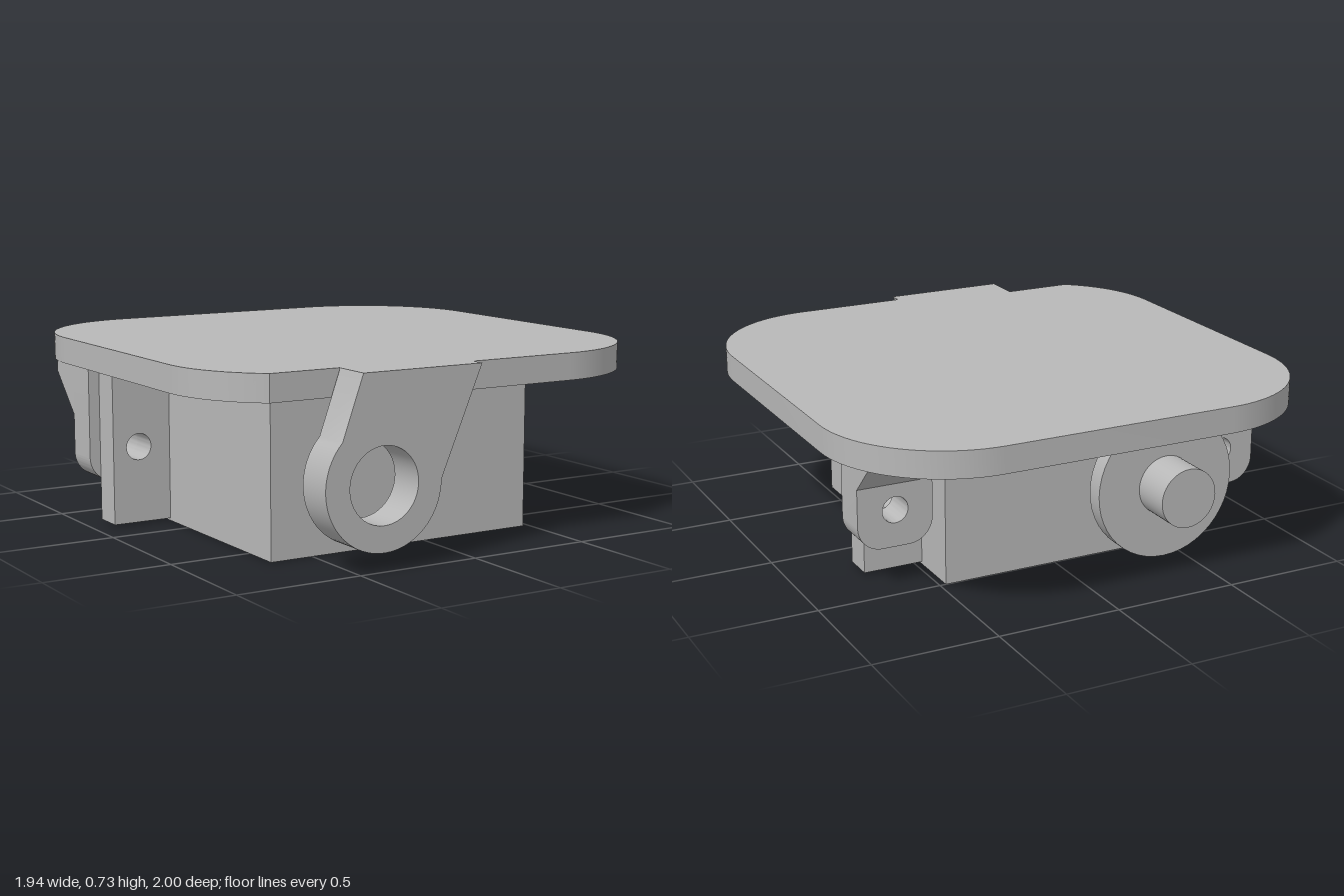
import * as THREE from 'three';
import { toCreasedNormals } from 'three/addons/utils/BufferGeometryUtils.js';

const grey = new THREE.MeshStandardMaterial({ color: 0xb8b8b8 });
grey.name = 'grey plastic';

export function createModel() {
  const model = new THREE.Group();
  model.name = 'servoMount';

  const add = (name, geometry) => {
    const mesh = new THREE.Mesh(geometry, grey);
    mesh.name = name;
    model.add(mesh);
    return mesh;
  };
  const box = (name, x0, x1, y0, y1, z0, z1) =>
    add(name, new THREE.BoxGeometry(x1 - x0, y1 - y0, z1 - z0))
      .position.set((x0 + x1) / 2, (y0 + y1) / 2, (z0 + z1) / 2);
  const extrude = (shape, depth) => toCreasedNormals(
    new THREE.ExtrudeGeometry(shape, { depth, bevelEnabled: false, curveSegments: 24 }), 0.6);
  const hole = (shape, x, y, r) =>
    shape.holes.push(new THREE.Path().absarc(x, y, r, 0, Math.PI * 2, true));
  const polygon = (points) => new THREE.Shape(points.map(([x, y]) => new THREE.Vector2(x, y)));

  const axisX = -0.4, axisY = 0.315, plateY = 0.62, topY = 0.725;

  // Rounded top plate, notched at the front beside the pivot bracket
  const plate = new THREE.Shape();
  plate.moveTo(-0.49, -0.945);
  plate.lineTo(0.47, -0.945);
  plate.absarc(0.47, -0.445, 0.5, -Math.PI / 2, 0);
  plate.absarc(0.47, 0.5, 0.5, 0, Math.PI / 2);
  plate.absarc(-0.47, 0.5, 0.5, Math.PI / 2, Math.PI);
  plate.absarc(-0.47, -0.445, 0.5, Math.PI, Math.PI + Math.asin(0.79));
  plate.lineTo(-0.49, -0.84);
  plate.closePath();
  add('topPlate', extrude(plate, topY - plateY).rotateX(-Math.PI / 2)).position.y = plateY;

  // Front pivot bracket: a ring joined to the plate by a slanted arm
  const bracket = new THREE.Shape();
  bracket.moveTo(0.02, topY);
  bracket.lineTo(-0.49, topY);
  bracket.absarc(axisX, axisY, 0.245, Math.PI * 0.755, Math.PI * 2);
  bracket.closePath();
  hole(bracket, axisX, axisY, 0.145);
  add('pivotBracket', extrude(bracket, 0.155)).position.z = 0.845;

  // Servo body
  box('servoBody', -0.675, 0.475, 0, plateY, -0.5, 0.665);

  // Mounting ears and the screw tabs behind them
  const sides = [
    { side: 'right', ear: [-0.92, -0.675], earHole: -0.81, tab: -0.81 },
    { side: 'left', ear: [0.475, 0.72], earHole: 0.615, tab: 0.65 },
  ];
  for (const { side, ear: [e0, e1], earHole, tab } of sides) {
    const ear = polygon([[e0, 0.01], [e1, 0.01], [e1, plateY], [e0, plateY]]);
    hole(ear, earHole, axisY, 0.053);
    add(side + 'Ear', extrude(ear, 0.125)).position.z = -0.28;

    const x0 = tab - 0.155, x1 = tab + 0.155, y0 = 0.165, r = 0.1;
    const lug = new THREE.Shape();
    lug.moveTo(x0 + r, y0);
    lug.absarc(x1 - r, y0 + r, r, -Math.PI / 2, 0);
    lug.lineTo(x1, plateY);
    lug.lineTo(x0, plateY);
    lug.absarc(x0 + r, y0 + r, r, Math.PI, Math.PI * 1.5);
    hole(lug, tab, axisY, 0.053);
    add(side + 'ScrewTab', extrude(lug, 0.15)).position.z = -0.43;

    // Sloped gusset bracing the tab against the plate
    const gusset = polygon([[0.43, 0.42], [0.59, 0.58], [0.59, plateY], [0.43, plateY]]);
    add(side + 'Gusset', extrude(gusset, 0.31).rotateY(Math.PI / 2)).position.x = x0;
  }

  // Output spline, horn disc and pivot pin at the back
  const turned = (name, r, z0, z1) =>
    add(name, new THREE.CylinderGeometry(r, r, z0 - z1, 48).rotateX(Math.PI / 2))
      .position.set(axisX, axisY, (z0 + z1) / 2);
  turned('outputSpline', 0.14, -0.5, -0.6);
  turned('hornDisc', 0.3, -0.595, -0.667);
  turned('pivotPin', 0.12, -0.667, -0.835);

  return model;
}
